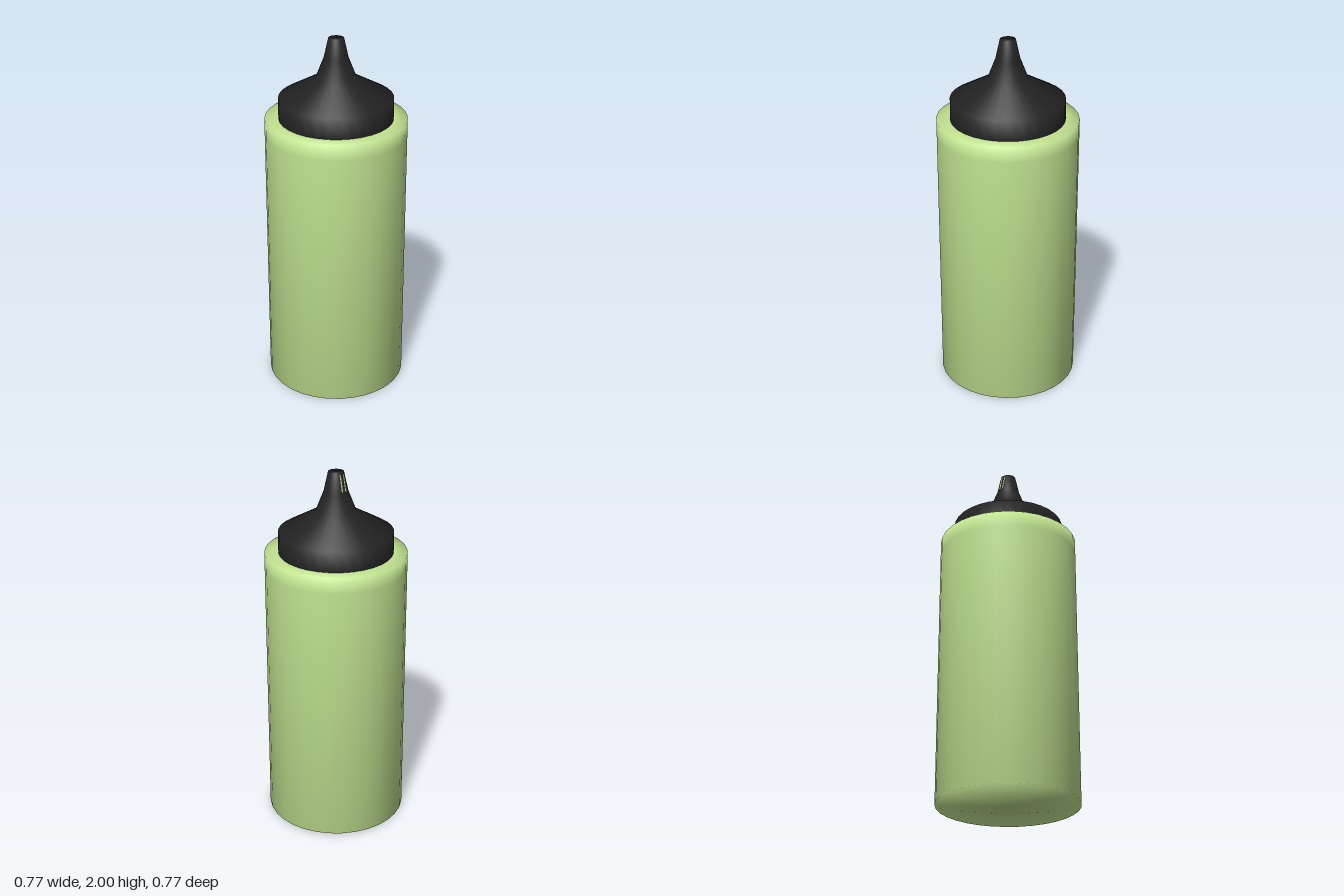
import * as THREE from 'three';

const SIDES = 32;

// Turn a profile of [radius, height] pairs into a smooth surface of revolution
function turned(name, profile, color) {
  const points = profile.map(([r, y]) => new THREE.Vector2(r, y));
  const mesh = new THREE.Mesh(
    new THREE.LatheGeometry(points, SIDES),
    new THREE.MeshStandardMaterial({ color })
  );
  mesh.name = name;
  return mesh;
}

export function createModel() {
  const model = new THREE.Group();
  model.name = 'squeezeBottle';
  const green = 0xc4e592;

  // Straight bottle with a closed base and a flat shoulder
  model.add(turned('bottleBody', [
    [0, 0], [0.385, 0], [0.385, 1.47], [0.385, 1.555], [0.31, 1.555], [0, 1.555],
  ], green));

  // Cap: collar, cone and tapering nozzle
  model.add(turned('nozzleCap', [
    [0.31, 1.555], [0.31, 1.67], [0.108, 1.785], [0.065, 1.895], [0.042, 2], [0, 2],
  ], 0x222222));

  // Two thin green streaks on the right side of the nozzle
  const tilt = -Math.atan2(0.023, 0.105);
  for (const z of [-0.008, 0.015]) {
    const streak = new THREE.Mesh(
      new THREE.BoxGeometry(0.003, 0.09, 0.008),
      new THREE.MeshStandardMaterial({ color: green })
    );
    streak.name = 'nozzleStreak';
    streak.position.set(-0.053, 1.945, z);
    streak.rotation.z = tilt;
    model.add(streak);
  }
  return model;
}
